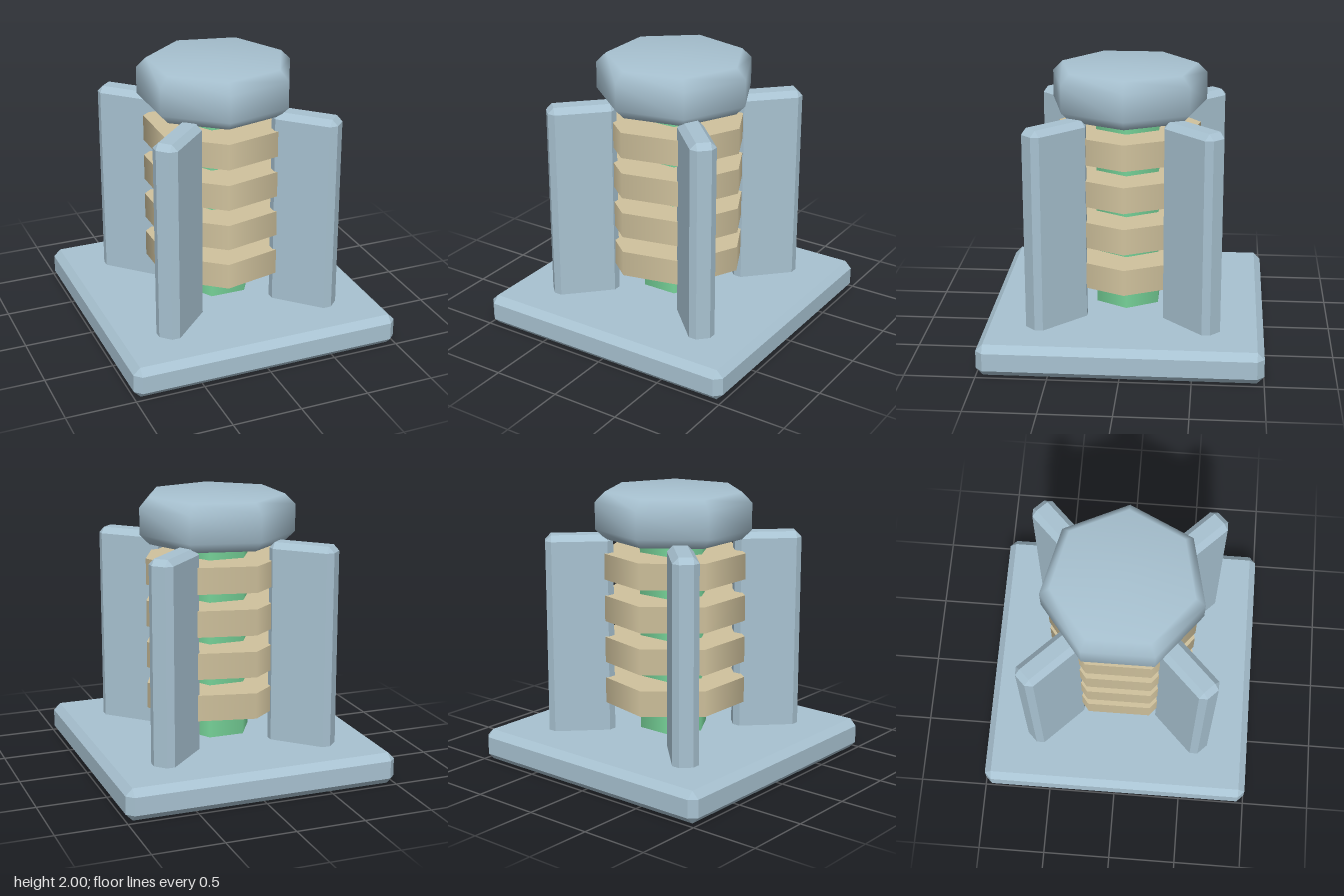
import * as THREE from 'three';
import { mergeVertices } from 'three/addons/utils/BufferGeometryUtils.js';
import { ConvexGeometry } from 'three/addons/geometries/ConvexGeometry.js';

// Box with all twelve edges cut at 45 degrees
function chamferedBox(w, h, d, c) {
  const half = [w / 2, h / 2, d / 2];
  const points = [];
  for (let axis = 0; axis < 3; axis++) {
    for (const sx of [-1, 1]) for (const sy of [-1, 1]) for (const sz of [-1, 1]) {
      const p = [sx, sy, sz].map((s, i) => s * (half[i] - (i === axis ? 0 : c)));
      points.push(new THREE.Vector3(...p));
    }
  }
  return new ConvexGeometry(points);
}

// Seven-sided bevelled block with normals shared across its edges
function bevelledCap(radius, bottom, top, c) {
  const profile = [
    [0, bottom], [radius - c, bottom], [radius, bottom + c],
    [radius, top - c], [radius - c, top], [0, top],
  ].map(([r, y]) => new THREE.Vector2(r, y));
  const lathe = new THREE.LatheGeometry(profile, 7, Math.PI / 2);
  lathe.deleteAttribute('normal');
  lathe.deleteAttribute('uv');
  const geometry = mergeVertices(lathe, 1e-4);
  geometry.computeVertexNormals();
  return geometry;
}

// Upright prism with a corner on +x
function prism(radius, bottom, top, sides) {
  const g = new THREE.CylinderGeometry(radius, radius, top - bottom, sides, 1, false, Math.PI / 2);
  return g.translate(0, (bottom + top) / 2, 0);
}

export function createModel() {
  const model = new THREE.Group();
  model.name = 'coilPedestal';

  const steel = new THREE.MeshStandardMaterial({ color: 0xa8c2d1 });
  steel.name = 'paleSteel';
  const green = new THREE.MeshStandardMaterial({ color: 0x76d298 });
  green.name = 'coreGreen';
  const tan = new THREE.MeshStandardMaterial({ color: 0xd0c29d });
  tan.name = 'coilTan';

  const add = (name, geometry, material) => {
    const mesh = new THREE.Mesh(geometry, material);
    mesh.name = name;
    model.add(mesh);
    return mesh;
  };

  // Square base plate
  add('base', chamferedBox(2, 0.23, 2, 0.05).translate(0, 0.115, 0), steel);

  // Six-sided core column
  add('core', prism(0.26, 0.235, 1.68, 6), green);

  // Four seven-sided coil rings stacked around the core
  for (let i = 0; i < 4; i++) {
    const y = 0.445 + i * 0.308;
    add(`coilRing${i + 1}`, prism(0.53, y, y + 0.19, 7), tan);
  }

  // Four upright fins on the diagonals, sunk into the base
  const fin = chamferedBox(0.486, 1.54, 0.184, 0.042).translate(0.683, 0.92, 0);
  for (let i = 0; i < 4; i++) {
    add(`fin${i + 1}`, fin, steel).rotation.y = Math.PI / 4 + i * Math.PI / 2;
  }

  // Bevelled cap
  add('cap', bevelledCap(0.573, 1.66, 2, 0.072), steel);

  return model;
}
